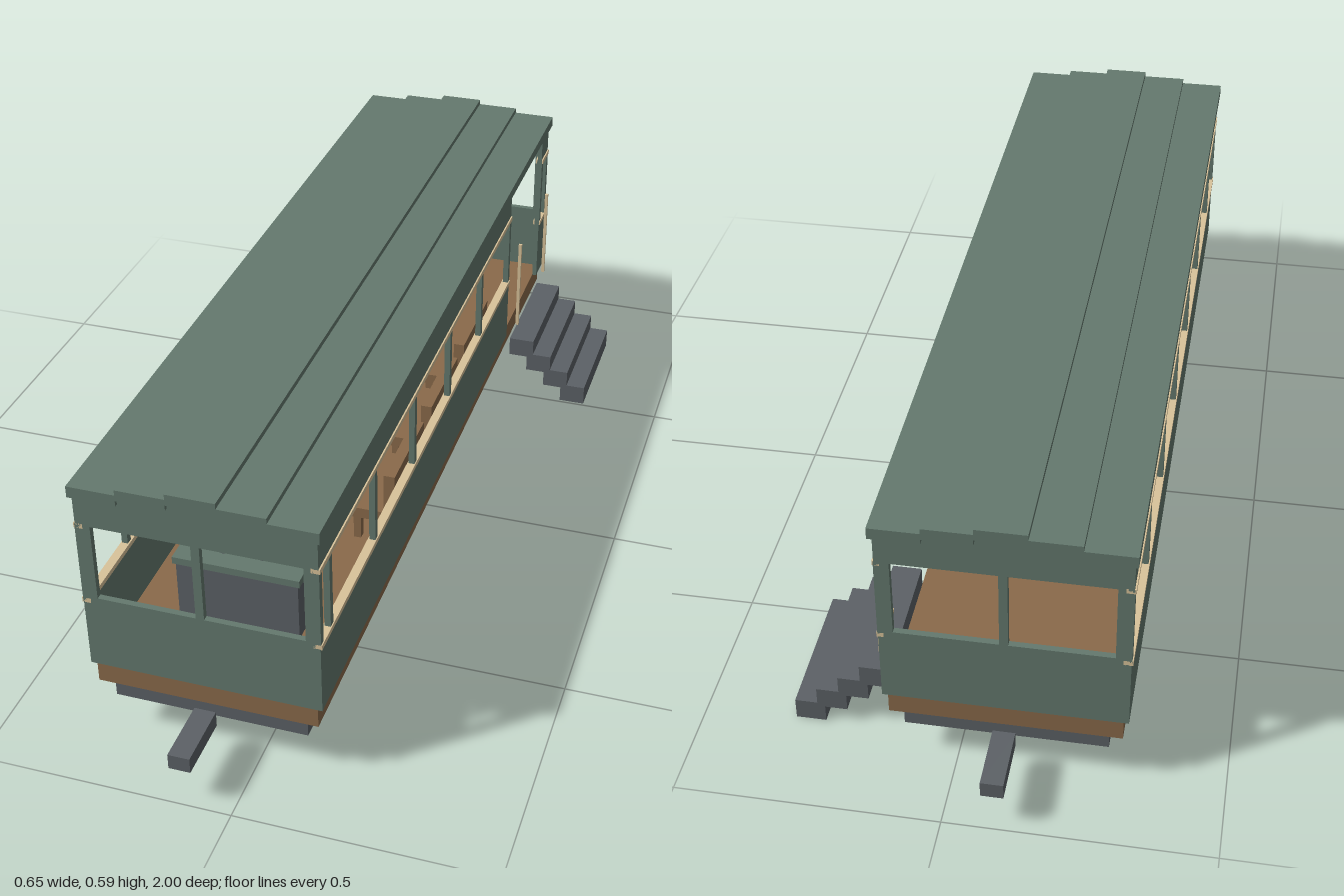
import * as THREE from 'three';

const mat = (name, color) => {
  const m = new THREE.MeshStandardMaterial({ color });
  m.name = name;
  return m;
};

export function createModel() {
  const green = mat('painted green', 0x64796e);
  const brown = mat('wood brown', 0x8a6a4a);
  const grey = mat('iron grey', 0x5c6166);
  const cream = mat('cream trim', 0xd9c39a);

  const tram = new THREE.Group();
  tram.name = 'tramCar';
  const MID = -0.094; // centre line of the car body

  const add = (name, geometry, material) => {
    const mesh = new THREE.Mesh(geometry, material);
    mesh.name = name;
    tram.add(mesh);
    return mesh;
  };
  // Box given by its limits on each axis
  const box = (name, material, x0, x1, y0, y1, z0, z1) => {
    const mesh = add(name, new THREE.BoxGeometry(Math.abs(x1 - x0), y1 - y0, z1 - z0), material);
    mesh.position.set((x0 + x1) / 2, (y0 + y1) / 2, (z0 + z1) / 2);
    return mesh;
  };
  const rect = (path, x0, x1, y0, y1) => {
    path.moveTo(x0, y0);
    path.lineTo(x1, y0);
    path.lineTo(x1, y1);
    path.lineTo(x0, y1);
    path.closePath();
    return path;
  };

  // Chassis, floor and couplers
  box('chassis', grey, -0.283, 0.096, 0.084, 0.124, -0.85, 0.85);
  box('floor', brown, -0.309, 0.121, 0.124, 0.168, -0.863, 0.863);
  box('frontCoupler', grey, -0.115, -0.073, 0.084, 0.116, 0.874, 1);
  box('backCoupler', grey, -0.115, -0.073, 0.084, 0.116, -1, -0.874);

  // Wheels with small outer hubs
  for (const z of [0.64, 0.455, -0.455, -0.64]) {
    for (const side of [-1, 1]) {
      const wheel = add('wheel', new THREE.CylinderGeometry(0.052, 0.052, 0.025, 24), grey);
      wheel.rotation.z = Math.PI / 2;
      wheel.position.set(MID + side * 0.115, 0.097, z);
      const hub = add('wheelHub', new THREE.CylinderGeometry(0.015, 0.015, 0.013, 12), grey);
      hub.rotation.z = Math.PI / 2;
      hub.position.set(MID + side * 0.134, 0.097, z);
    }
  }

  // End walls: stepped top to meet the roof, two window openings
  const endShape = new THREE.Shape();
  [[-0.309, 0.168], [0.121, 0.168], [0.121, 0.55], [0.044, 0.55], [0.044, 0.561], [-0.047, 0.561],
    [-0.047, 0.573], [-0.14, 0.573], [-0.14, 0.561], [-0.233, 0.561], [-0.233, 0.55], [-0.309, 0.55]]
    .forEach(([x, y], i) => (i ? endShape.lineTo(x, y) : endShape.moveTo(x, y)));
  endShape.closePath();
  endShape.holes.push(rect(new THREE.Path(), -0.291, -0.102, 0.325, 0.485));
  endShape.holes.push(rect(new THREE.Path(), -0.086, 0.104, 0.325, 0.485));
  const endGeo = new THREE.ExtrudeGeometry(endShape, { depth: 0.012, bevelEnabled: false });
  add('frontWall', endGeo, green).position.z = 0.855;
  add('backWall', endGeo, green).position.z = -0.867;

  // Side walls: s is the outward direction, runs are stretches without a doorway
  const buildSide = (s, runs, posts) => {
    const at = (d) => MID + s * d;
    for (const [z0, z1] of runs) {
      box('lowerSideWall', green, at(0.215), at(0.225), 0.168, 0.312, z0, z1);
      box('upperSideWall', green, at(0.215), at(0.225), 0.487, 0.55, z0, z1);
      box('windowSill', cream, at(0.211), at(0.228), 0.311, 0.321, z0, z1);
      box('windowHeadRail', cream, at(0.211), at(0.228), 0.478, 0.488, z0, z1);
    }
    for (const z of posts) {
      box('windowPost', green, at(0.214), at(0.226), 0.312, 0.487, z - 0.007, z + 0.007);
    }
  };
  buildSide(-1, [[-0.867, 0.867]], [-0.86, -0.604, -0.345, -0.085, 0.174, 0.433, 0.692, 0.86]);
  buildSide(1, [[-0.867, -0.802], [-0.491, 0.867]],
    [-0.86, -0.809, -0.484, -0.23, 0.028, 0.288, 0.547, 0.807, 0.86]);

  // Stepped roof boards, rising to the middle
  const roof = (name, x0, x1, y) => box(name, green, x0, x1, y, y + 0.023, -0.879, 0.874);
  roof('leftRoofEdge', 0.044, 0.137, 0.547);
  roof('leftRoofStep', -0.047, 0.044, 0.558);
  roof('roofRidge', -0.14, -0.047, 0.569);
  roof('rightRoofStep', -0.233, -0.14, 0.558);
  roof('rightRoofEdge', -0.325, -0.233, 0.547);

  // Benches along both sides
  for (const z of [0.272, 0.01, -0.248]) {
    for (const s of [-1, 1]) {
      const at = (d) => MID + s * d;
      box('benchBack', brown, at(0.186), at(0.209), 0.168, 0.338, z - 0.102, z + 0.102);
      box('benchSeat', brown, at(0.115), at(0.186), 0.225, 0.248, z - 0.102, z + 0.102);
      for (const e of [-0.085, 0.085]) {
        box('benchLeg', brown, at(0.12), at(0.135), 0.168, 0.225, z + e - 0.008, z + e + 0.008);
      }
    }
  }

  // Driver's console with two knobs
  box('consoleBody', grey, -0.215, 0.027, 0.168, 0.295, 0.6, 0.695);
  box('consoleTop', green, -0.22, 0.032, 0.295, 0.31, 0.595, 0.7);
  for (const dx of [-0.04, 0.04]) {
    add('consoleKnob', new THREE.CylinderGeometry(0.014, 0.014, 0.01, 16), grey)
      .position.set(MID + dx, 0.315, 0.648);
  }

  // Boarding steps and handrails at the doorway
  for (let i = 0; i < 4; i++) {
    const x = 0.266 - i * 0.0433;
    const y = i * 0.036;
    box('boardingStep', grey, x, x + 0.058, y, y + 0.044, -0.792, -0.507);
  }
  for (const z of [-0.51, -0.783]) {
    box('handrail', cream, 0.148, 0.155, 0.193, 0.408, z - 0.0035, z + 0.0035);
  }
  return tram;
}
